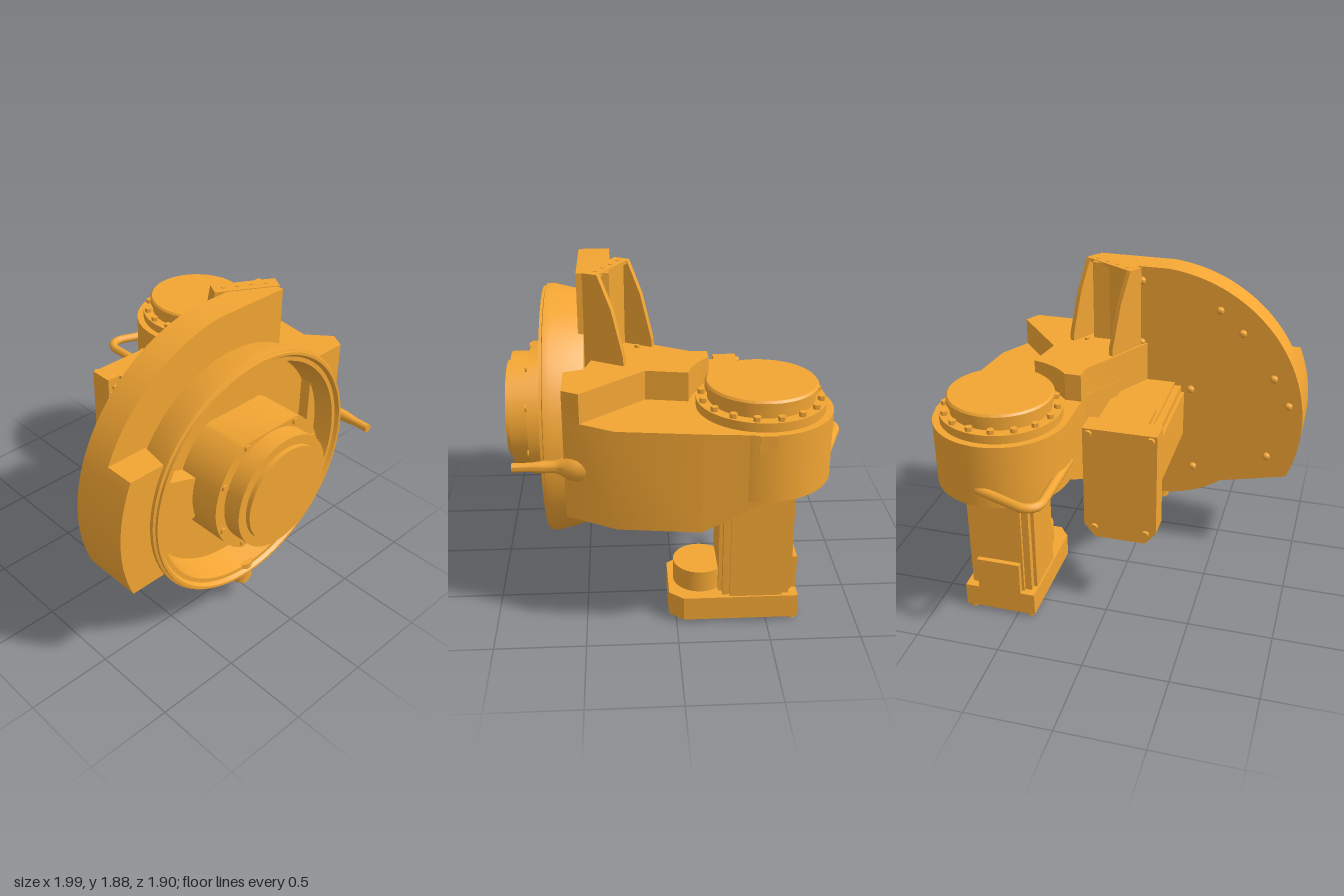
import * as THREE from 'three';
import { toCreasedNormals } from 'three/addons/utils/BufferGeometryUtils.js';

const material = new THREE.MeshStandardMaterial({ color: 0xf2a533 });
const AXIS = { x: -0.07, y: 0.95 };    // wheel axis, along z
const JOINT = { x: 0.605, z: -0.455 }; // swivel axis, along y

function add(parent, name, geo, x = 0, y = 0, z = 0) {
  const mesh = new THREE.Mesh(toCreasedNormals(geo, 0.6), material);
  mesh.name = name;
  mesh.position.set(x, y, z);
  parent.add(mesh);
  return mesh;
}
const shapeOf = pts => new THREE.Shape(pts.map(p => new THREE.Vector2(p[0], p[1])));
const extrude = (shape, depth) =>
  new THREE.ExtrudeGeometry(shape, { depth, bevelEnabled: false, curveSegments: 32 });
// plan outline given as [x, z], raised from y0 to y1
const prism = (pts, y0, y1) =>
  extrude(shapeOf(pts.map(([x, z]) => [x, -z])), y1 - y0).rotateX(-Math.PI / 2).translate(0, y0, 0);
// front outline given as [x, y], from z0 to z1
const slab = (pts, z0, z1) => extrude(shapeOf(pts), z1 - z0).translate(0, 0, z0);
const box = (w, h, d) => new THREE.BoxGeometry(w, h, d);
const cyl = (r, h, n = 48) => new THREE.CylinderGeometry(r, r, h, n);
const lathe = (pts, n = 72) => new THREE.LatheGeometry(pts.map(p => new THREE.Vector2(p[0], p[1])), n);
function arc(cx, cy, r, a0, a1, n = 32) {
  return Array.from({ length: n + 1 }, (_, i) => {
    const a = a0 + (a1 - a0) * i / n;
    return [cx + r * Math.cos(a), cy + r * Math.sin(a)];
  });
}

// motor standing on its end cap, axis along y, connector towards +z
function motor(name) {
  const g = new THREE.Group();
  g.name = name;
  add(g, 'endCap', prism([[-0.215, -0.235], [0.215, -0.235], [0.215, 0.4], [0.15, 0.48],
    [-0.15, 0.48], [-0.215, 0.4]], 0, 0.14));
  const a = 0.205, b = 0.145, c = 0.185;
  const quarter = [[a, -b], [a, b], [c, b], [c, c], [b, c], [b, a]];
  const outline = [];
  for (let k = 0; k < 4; k++) {
    const co = Math.round(Math.cos(k * Math.PI / 2)), si = Math.round(Math.sin(k * Math.PI / 2));
    quarter.slice(1).forEach(([x, z]) => outline.push([x * co - z * si, x * si + z * co]));
  }
  add(g, 'motorBody', prism(outline, 0.14, 0.84));
  add(g, 'connector', cyl(0.15, 0.13), 0, 0.2, 0.3);
  add(g, 'rearCover', box(0.26, 0.2, 0.04), 0, 0.24, -0.215);
  for (const x of [-0.18, 0.18]) for (const z of [-0.2, 0.1, 0.4])
    if (z !== 0.1) add(g, 'capBolt', cyl(0.022, 0.04, 16), x * (z > 0 ? 0.85 : 1), 0, z * 1.03);
  return g;
}

function wheel() {
  const g = new THREE.Group();
  g.name = 'wheelHead';
  g.position.set(AXIS.x, AXIS.y, 0);
  // dished rim, open to the front
  add(g, 'dishedRim', lathe([[0, 0.48], [0.69, 0.48], [0.735, 0.66], [0.735, 0.7], [0.72, 0.705],
    [0.72, 0.72], [0.705, 0.72], [0.69, 0.7], [0.665, 0.7], [0.63, 0.54], [0, 0.54]], 96).rotateX(Math.PI / 2));
  add(g, 'innerWedge', slab([[-0.65, -0.22], [-0.38, -0.13], [-0.38, 0.13], [-0.65, 0.22]], 0.53, 0.64));
  // flange with flats above and below
  const s = Math.asin(0.347 / 0.4);
  add(g, 'hubFlange', slab([...arc(0, 0, 0.4, -s, s), ...arc(0, 0, 0.4, Math.PI - s, Math.PI + s)], 0.5, 0.815));
  add(g, 'hub', lathe([[0, 0.8], [0.337, 0.8], [0.337, 0.92], [0.283, 0.92], [0.283, 0.947], [0, 0.947]])
    .rotateX(Math.PI / 2));
  for (const sx of [-1, 1]) for (const sy of [-1, 1]) for (const [x, y] of [[0.184, 0.32], [0.34, 0.144]])
    add(g, 'hubBolt', cyl(0.02, 0.02, 16).rotateX(Math.PI / 2), sx * x, sy * y, 0.817);
  // drain below, marker above
  add(g, 'drainBoss', cyl(0.063, 0.12, 32), 0, -0.72, 0.65);
  add(g, 'drainPlug', cyl(0.05, 0.06, 32), 0, -0.785, 0.65);
  return g;
}

function housing() {
  const g = new THREE.Group();
  g.name = 'housing';
  const R = 0.93, low = Math.PI + Math.asin(0.36 / R), top = Math.PI / 2 + 0.097;
  const side = Math.PI - Math.asin(0.37 / R);
  add(g, 'backPlate', slab([[0.3, 0.62], [0.3, 1.876], ...arc(AXIS.x, AXIS.y, R, top, low, 48),
    [-0.35, 0.46], [-0.27, 0.5], [-0.24, 0.58], [-0.18, 0.62]], 0.335, 0.51));
  // block beside the rim, with a sloping inner end
  const block = slab([...arc(AXIS.x, AXIS.y, R, side, low, 20), [-0.66, 0.59], [-0.66, 1.32]], 0.4, 0.68);
  const p = block.attributes.position;
  for (let i = 0; i < p.count; i++)
    if (p.getX(i) > -0.7 && p.getZ(i) > 0.5) p.setX(i, -0.71);
  block.computeVertexNormals();
  add(g, 'sideBlock', block);
  for (const [x, y] of [[-0.47, 1.65], [0.0, 1.79], [0.0, 1.4], [-0.81, 1.25], [-0.31, 1.12],
    [-0.91, 1.08], [-0.8, 0.72], [-0.61, 1.52], [-0.34, 0.58]])
    add(g, 'plateBolt', new THREE.SphereGeometry(0.024, 16, 10), x, y, 0.333);
  return g;
}

// channel bracket joining the arm to the plate, turned with the arm
function brackets() {
  const g = new THREE.Group();
  g.name = 'gussetBracket';
  g.position.set(0.155, 0, 0.39);
  g.rotation.y = -0.51;
  add(g, 'web', box(0.35, 0.68, 0.07), 0, 1.54, -0.035);
  add(g, 'topStrip', box(0.36, 0.02, 0.09), 0, 1.87, -0.045);
  const fin = [[0, 1.35], [0.24, 1.35], [0.24, 1.44], [0.17, 1.7], [0.09, 1.88], [0, 1.88]];
  for (const x of [-0.18, 0.15])
    add(g, 'fin', extrude(shapeOf(fin), 0.03).rotateY(Math.PI / 2), x);
  for (let i = 0; i < 4; i++)
    add(g, 'stripBolt', cyl(0.014, 0.01, 12), -0.12 + i * 0.08, 1.878, -0.05);
  for (const x of [-0.11, 0.11]) add(g, 'baseBolt', cyl(0.014, 0.02, 12), x, 1.4, -0.17);
  // lower foot under the arm
  add(g, 'footPlate', box(0.36, 0.05, 0.32), -0.1, 0.415, -0.1);
  add(g, 'footWall', box(0.36, 0.3, 0.12), -0.1, 0.54, 0);
  add(g, 'footWall', box(0.05, 0.3, 0.32), 0.055, 0.54, -0.1);
  for (const x of [-0.2, 0]) for (const z of [-0.2, 0])
    add(g, 'footBolt', cyl(0.045, 0.04, 24), x, 0.385, z);
  return g;
}

function arm() {
  const g = new THREE.Group();
  g.name = 'arm';
  add(g, 'armBody', prism([[0.5, 0.59], [0.75, 0.59], [0.9, 0.32], [0.955, -0.12], [0.22, -0.12],
    [-0.04, 0.34], [0.46, 0.48]], 0.665, 1.23));
  // rear of the arm, its underside rising to the swivel joint
  const rear = prism([[0.22, -0.12], [0.955, -0.12], [0.985, -0.45], [0.22, -0.45]], 0.665, 1.23);
  const p = rear.attributes.position;
  for (let i = 0; i < p.count; i++)
    if (p.getY(i) < 0.7 && p.getZ(i) < -0.3) p.setY(i, 0.855);
  rear.computeVertexNormals();
  add(g, 'armRear', rear);
  // raised top, hollowed round the joint
  add(g, 'raisedTop', prism([[0.5, 0.59], [0.75, 0.59], [0.8, 0.5], [0.5, 0.155],
    ...arc(JOINT.x, JOINT.z, 0.385, 1.74, 2.42, 10), [0.22, -0.2], [0.22, -0.11], [-0.04, 0.34],
    [0.46, 0.48]], 1.22, 1.395));
  // pointed pin at the front corner
  add(g, 'frontPin', lathe([[0, 0.45], [0.085, 0.47], [0.085, 0.52], [0.07, 0.57], [0.045, 0.61],
    [0.033, 0.64], [0.033, 0.7], [0.025, 0.76], [0.024, 0.865], [0, 0.865]], 32).rotateX(Math.PI / 2), 0.73, 0.955, 0);
  return g;
}

function swivel() {
  const g = new THREE.Group();
  g.name = 'swivelJoint';
  g.position.set(JOINT.x, 0, JOINT.z);
  add(g, 'jointHousing', lathe([[0, 0.855], [0.385, 0.855], [0.385, 1.23], [0.345, 1.23], [0.345, 1.28],
    [0.285, 1.28], [0.285, 1.335], [0.3, 1.335], [0.3, 1.365], [0.29, 1.377], [0, 1.377]]));
  for (let i = 0; i < 16; i++) {
    const a = (i + 0.5) * Math.PI / 8;
    add(g, 'jointBolt', cyl(0.021, 0.04, 6), 0.317 * Math.cos(a), 1.285, 0.317 * Math.sin(a));
  }
  add(g, 'sideTab', box(0.03, 0.09, 0.09), 0.375, 1.185, 0.01);
  return g;
}

export function createModel() {
  const model = new THREE.Group();
  model.name = 'robotWristUnit';
  model.add(wheel(), housing(), brackets(), arm(), swivel());

  const vertical = motor('verticalMotor');
  vertical.position.set(0.605, 0.02, -0.44);
  const horizontal = motor('horizontalMotor');
  horizontal.rotation.x = Math.PI / 2;
  horizontal.position.set(-0.065, AXIS.y, -0.42);
  model.add(vertical, horizontal);

  // loop handle behind the joint
  const path = new THREE.CurvePath();
  const v = (x, z) => new THREE.Vector3(x, 0.95, z);
  path.add(new THREE.LineCurve3(v(0.24, -0.4), v(0.24, -0.84)));
  path.add(new THREE.CubicBezierCurve3(v(0.24, -0.84), v(0.24, -0.91), v(0.3, -0.945), v(0.36, -0.92)));
  path.add(new THREE.LineCurve3(v(0.36, -0.92), v(0.62, -0.82)));
  add(model, 'loopHandle', new THREE.TubeGeometry(path, 48, 0.027, 12));
  return model;
}
